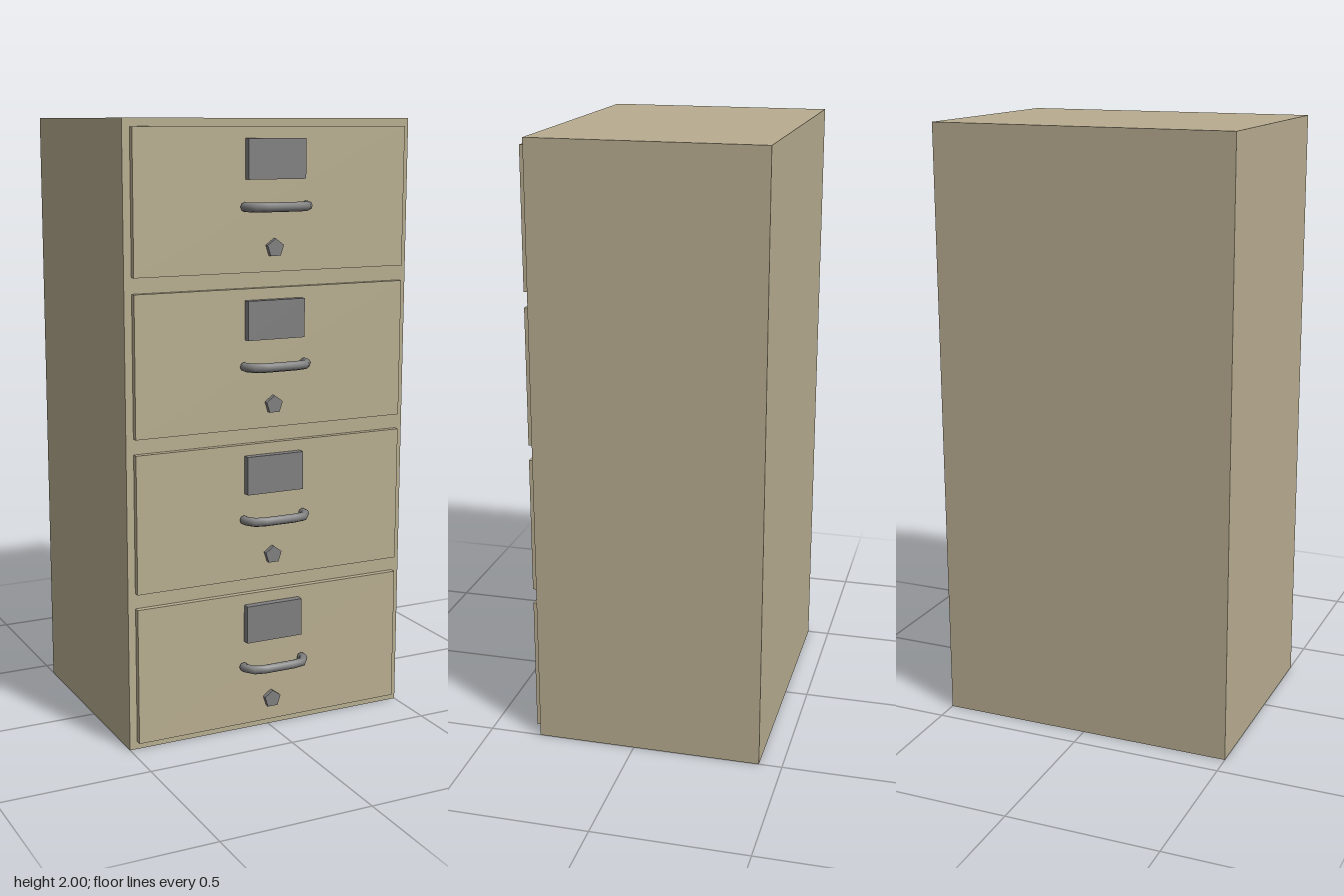
import * as THREE from 'three';

const enamel = new THREE.MeshStandardMaterial({ color: 0xb8ad90 });
enamel.name = 'beige enamel';
const metal = new THREE.MeshStandardMaterial({ color: 0x7f7f7f, side: THREE.DoubleSide });
metal.name = 'grey metal';

const FRONT = 0.327, BACK = -0.424, FACE = FRONT + 0.02;

function add(parent, name, geometry, material, x, y, z) {
  const mesh = new THREE.Mesh(geometry, material);
  mesh.name = name;
  mesh.position.set(x, y, z);
  parent.add(mesh);
  return mesh;
}

// Bowed pull: a tube whose rings sit exactly on the path points
function handleGeometry() {
  const half = [[0.107, 0.01], [0.107, 0.026], [0.087, 0.054], [0.052, 0.0615]];
  const points = [
    ...half.map(([x, z]) => new THREE.Vector3(-x, 0, z)),
    ...half.slice().reverse().map(([x, z]) => new THREE.Vector3(x, 0, z)),
  ];
  const curve = new THREE.CatmullRomCurve3(points);
  curve.getPointAt = curve.getPoint;
  curve.getTangentAt = curve.getTangent;
  return new THREE.TubeGeometry(curve, points.length - 1, 0.015, 8);
}

export function createModel() {
  const model = new THREE.Group();
  model.name = 'filingCabinet';

  // Cabinet body
  add(model, 'cabinetBody', new THREE.BoxGeometry(1, 2, FRONT - BACK), enamel, 0, 1, (FRONT + BACK) / 2);

  const panel = new THREE.BoxGeometry(0.95, 0.45, 0.02);
  const label = new THREE.BoxGeometry(0.2, 0.125, 0.025);
  const handle = handleGeometry();
  const lock = new THREE.CylinderGeometry(0.03, 0.03, 0.015, 5).toNonIndexed();
  lock.rotateX(-Math.PI / 2);
  lock.computeVertexNormals();

  // Four identical drawers, each with label plate, pull and five-sided lock
  for (let i = 0; i < 4; i++) {
    const drawer = new THREE.Group();
    drawer.name = `drawer${i + 1}`;
    drawer.position.set(0, i * 0.5, FACE);
    add(drawer, 'drawerFront', panel, enamel, 0, 0.25, -0.01);
    add(drawer, 'labelPlate', label, metal, 0, 0.376, 0.0125);
    add(drawer, 'handle', handle, metal, 0, 0.23, 0);
    add(drawer, 'lock', lock, metal, 0, 0.1, 0.0075);
    model.add(drawer);
  }
  return model;
}
